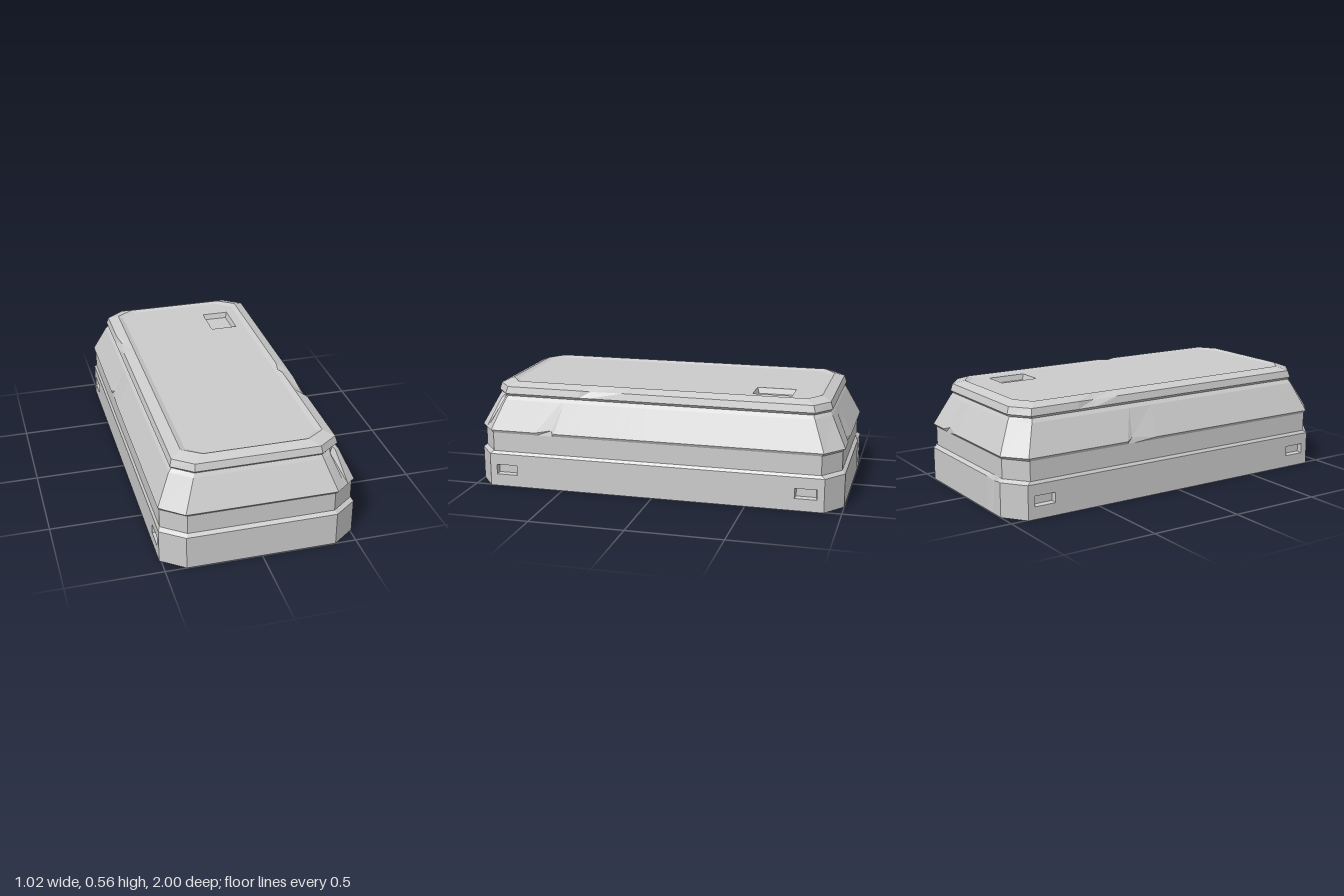
import * as THREE from 'three';

// Octagon levels, bottom to top: half width, half length, chamfer start x, chamfer start z, height
const LEVELS = [
  [0.51, 1, 0.39, 0.91, 0],
  [0.51, 1, 0.39, 0.91, 0.18],
  [0.5, 0.982, 0.38, 0.89, 0.195],
  [0.5, 0.982, 0.38, 0.89, 0.297],
  [0.508, 0.995, 0.39, 0.9, 0.312],
  [0.437, 0.917, 0.332, 0.84, 0.468],
  [0.42, 0.905, 0.325, 0.83, 0.487],
  [0.43, 0.917, 0.325, 0.84, 0.5],
  [0.42, 0.905, 0.32, 0.83, 0.537],
  [0.365, 0.855, 0.27, 0.79, 0.558],
  [0.338, 0.835, 0.255, 0.775, 0.548],
];

// Worn nicks: level, side (0 = +x, 2 = back, 4 = -x, 7 = front corner), start/deepest/end along it, inset, rise
const CHIPS = [
  [4, 0, [0.14, 0.19, 0.25], 0.015, 0.015],
  [8, 0, [0.2, 0.28, 0.39], 0.015, -0.005],
  [9, 0, [0.4, 0.43, 0.47], 0.012, -0.004],
  [4, 4, [0.3, 0.34, 0.42], 0.015, 0.015],
  [8, 4, [0.16, 0.22, 0.32], 0.015, -0.005],
  [4, 2, [0.17, 0.23, 0.36], 0.015, 0.015],
  [1, 2, [0.82, 0.9, 0.97], 0.01, -0.012],
  [5, 7, [0.45, 0.6, 0.8], 0.015, -0.01],
];

const material = new THREE.MeshStandardMaterial({ color: 0xcccccc, flatShading: true });

const corners = ([X, Z, cx, cz]) => [
  [X, cz], [X, -cz], [cx, -Z], [-cx, -Z], [-X, -cz], [-X, cz], [-cx, Z], [cx, Z],
];

// One ring of points; every ring gets the same subdivisions so rings can be joined
function ring(level) {
  const c = corners(LEVELS[level]);
  const y = LEVELS[level][4];
  const points = [];
  c.forEach(([x, z], side) => {
    const [x2, z2] = c[(side + 1) % 8];
    const length = Math.hypot(x2 - x, z2 - z);
    const stops = [{ t: 0, inset: 0, rise: 0 }];
    for (const [l, s, ts, inset, rise] of CHIPS) {
      if (s !== side) continue;
      ts.forEach((t, k) => {
        const on = l === level && k === 1 ? 1 : 0;
        stops.push({ t, inset: inset * on, rise: rise * on });
      });
    }
    stops.sort((a, b) => a.t - b.t);
    for (const { t, inset, rise } of stops) {
      const px = x + (x2 - x) * t + ((z2 - z) / length) * inset;
      const pz = z + (z2 - z) * t - ((x2 - x) / length) * inset;
      points.push({ p: [px, y + rise, pz], side });
    }
  });
  return points;
}

// Joins successive rings into faceted walls
function loft(rings, skip = () => false) {
  const positions = [];
  for (let r = 0; r < rings.length - 1; r++) {
    const a = rings[r], b = rings[r + 1];
    for (let i = 0; i < a.length; i++) {
      if (skip(r, a[i].side)) continue;
      const j = (i + 1) % a.length;
      positions.push(...a[i].p, ...a[j].p, ...b[j].p, ...a[i].p, ...b[j].p, ...b[i].p);
    }
  }
  const geometry = new THREE.BufferGeometry();
  geometry.setAttribute('position', new THREE.Float32BufferAttribute(positions, 3));
  geometry.computeVertexNormals();
  return geometry;
}

function mesh(name, geometry) {
  const m = new THREE.Mesh(geometry, material);
  m.name = name;
  return m;
}

const rect = (x, y, w, h, z) =>
  [[1, -1], [1, 1], [-1, 1], [-1, -1]].map(([u, v]) => ({ p: [x + u * w, y + v * h, z] }));

// Flat panel in the xy plane, facing +z, with tapered rectangular pockets [x, y, halfW, halfH]
function panel(name, outline, pockets, depth, taper) {
  const group = new THREE.Group();
  group.name = name;
  const shape = new THREE.Shape(outline.map(([x, y]) => new THREE.Vector2(x, y)));
  for (const [x, y, w, h] of pockets) {
    const rim = rect(x, y, w, h, 0);
    shape.holes.push(new THREE.Path(rim.map(({ p }) => new THREE.Vector2(p[0], p[1]))));
    const walls = loft([rim, rect(x, y, w - taper, h - taper, -depth)]);
    group.add(mesh('pocketWalls', walls));
    const floor = new THREE.PlaneGeometry(2 * (w - taper), 2 * (h - taper));
    group.add(mesh('pocketFloor', floor.translate(x, y, -depth)));
  }
  group.add(mesh('panelFace', new THREE.ShapeGeometry(shape)));
  return group;
}

export function createModel() {
  const model = new THREE.Group();
  model.name = 'chamferedCase';
  const rings = LEVELS.map((_, i) => ring(i));

  // Stacked body; the long base sides are left open for the slotted panels
  model.add(mesh('base', loft(rings.slice(0, 3), (r, side) => r === 0 && (side === 0 || side === 4))));
  model.add(mesh('recessedBand', loft(rings.slice(2, 4))));
  model.add(mesh('slopedSkirt', loft(rings.slice(3, 7))));
  model.add(mesh('lidRim', loft(rings.slice(6))));

  // Long base sides with two slots each
  const [X, , , cz] = LEVELS[0];
  const top = LEVELS[1][4];
  for (const s of [1, -1]) {
    const side = panel(s > 0 ? 'leftBaseSide' : 'rightBaseSide',
      [[-cz, 0], [cz, 0], [cz, top], [-cz, top]],
      [[-0.815, 0.093, 0.058, 0.027], [0.815, 0.093, 0.058, 0.027]], 0.025, 0.006);
    side.rotation.y = s * Math.PI / 2;
    side.position.x = s * X;
    model.add(side);
  }

  // Sunken lid panel with a square pocket near the back
  const lid = panel('lidPanel', rings[10].map(({ p }) => [p[0], -p[2]]),
    [[0.215, 0.595, 0.074, 0.104]], 0.03, 0.01);
  lid.rotation.x = -Math.PI / 2;
  lid.position.y = LEVELS[10][4];
  model.add(lid);

  // Underside
  const bottom = panel('underside', corners(LEVELS[0]), [], 0, 0);
  bottom.rotation.x = Math.PI / 2;
  model.add(bottom);

  return model;
}
